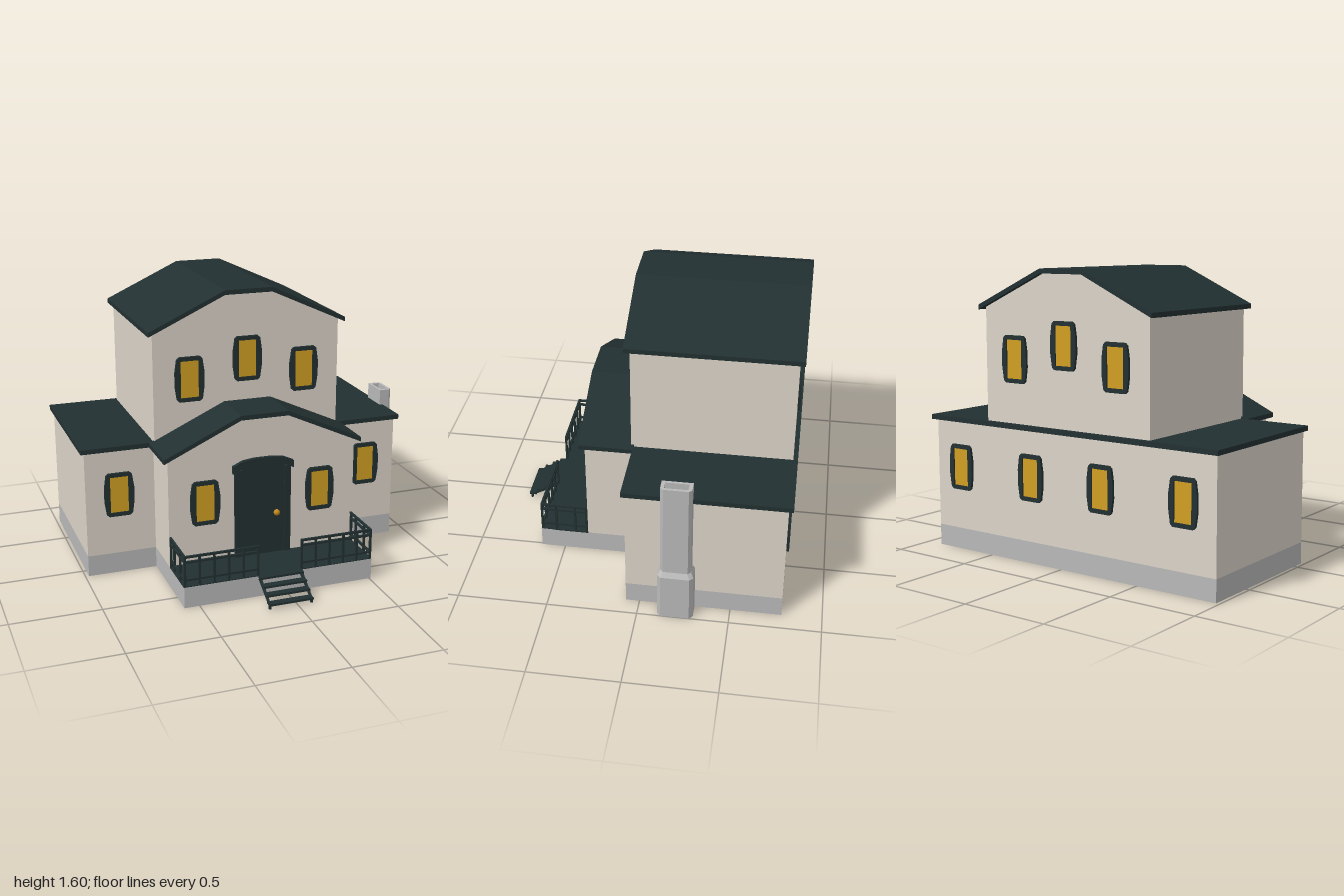
import * as THREE from 'three';

const mat = (name, color, side = THREE.FrontSide) => {
  const m = new THREE.MeshStandardMaterial({ color, side });
  m.name = name;
  return m;
};

export function createModel() {
  const house = new THREE.Group();
  house.name = 'house';
  const plaster = mat('plaster', 0xdcd4c9, THREE.DoubleSide);
  const stone = mat('stone', 0xb9b9b9, THREE.DoubleSide);
  const dark = mat('darkSlate', 0x223031);
  const glass = mat('litGlass', 0xd2a023);
  const brass = mat('brass', 0xc08a1c);
  const maroon = mat('maroon', 0x4a0b1f);

  const add = (name, geometry, material, parent = house) => {
    const m = new THREE.Mesh(geometry, material);
    m.name = name;
    parent.add(m);
    return m;
  };
  // Box given by its limits on each axis
  const box = (name, x0, x1, y0, y1, z0, z1, material, parent) => {
    const m = add(name, new THREE.BoxGeometry(x1 - x0, y1 - y0, z1 - z0), material, parent);
    m.position.set((x0 + x1) / 2, (y0 + y1) / 2, (z0 + z1) / 2);
    return m;
  };
  const shapeOf = (pts) => new THREE.Shape(pts.map(([x, y]) => new THREE.Vector2(x, y)));
  const extrude = (shape, depth) => new THREE.ExtrudeGeometry(shape, { depth, bevelEnabled: false });

  // Upright wall strip following a ground plan
  const wallStrip = (name, plan, y0, y1, material) => {
    const pos = [];
    for (let i = 0; i < plan.length - 1; i++) {
      const [ax, az] = plan[i], [bx, bz] = plan[i + 1];
      pos.push(ax, y0, az, bx, y0, bz, bx, y1, bz, ax, y0, az, bx, y1, bz, ax, y1, az);
    }
    const g = new THREE.BufferGeometry();
    g.setAttribute('position', new THREE.Float32BufferAttribute(pos, 3));
    g.computeVertexNormals();
    add(name, g, material);
  };
  // Flat wall with a sloped, flat-topped gable
  const gableWall = (name, y0, eave, peak, z) => {
    const s = shapeOf([[-0.585, y0], [0.51, y0], [0.51, eave], [0.1, peak], [-0.175, peak], [-0.585, eave]]);
    add(name, new THREE.ShapeGeometry(s), plaster).position.z = z;
  };
  // Bent roof sheet of even thickness
  const gableRoof = (name, eave, peak, z0, z1) => {
    const top = [[-0.613, eave], [-0.175, peak], [0.1, peak], [0.54, eave]];
    const under = top.map(([x, y]) => [x, y - 0.026]).reverse();
    add(name, extrude(shapeOf([...top, ...under]), z1 - z0), dark).position.z = z0;
  };

  // Foundation, open underneath
  wallStrip('foundation', [[-0.98, -0.78], [-0.98, 0.075], [-0.585, 0.075], [-0.585, 0.635], [0.51, 0.635],
    [0.51, 0.075], [0.9, 0.075], [0.9, -0.78], [-0.98, -0.78]], 0, 0.12, stone);

  // Ground floor: wings and front bay
  wallStrip('wingWalls', [[-0.585, 0.075], [-0.98, 0.075], [-0.98, -0.78], [0.9, -0.78], [0.9, 0.075],
    [0.51, 0.075]], 0.12, 0.74, plaster);
  for (const x of [-0.585, 0.51]) wallStrip('baySideWall', [[x, 0.075], [x, 0.36]], 0.12, 0.745, plaster);
  gableWall('bayFrontWall', 0.12, 0.745, 0.94, 0.36);

  // Upper floor
  for (const x of [-0.585, 0.51]) wallStrip('upperSideWall', [[x, 0.1], [x, -0.78]], 0.75, 1.385, plaster);
  gableWall('upperFrontWall', 0.75, 1.385, 1.578, 0.1);
  gableWall('upperBackWall', 0.75, 1.385, 1.578, -0.78);

  // Roofs
  box('wingRoof', -1, 0.925, 0.733, 0.76, -0.805, 0.09, dark);
  gableRoof('bayRoof', 0.758, 0.96, 0.085, 0.39);
  gableRoof('upperRoof', 1.395, 1.597, -0.808, 0.13);

  // Windows: framed opening with a lit pane
  const half = [[0.06, -0.128], [0.074, -0.115], [0.085, -0.04], [0.085, 0.04], [0.074, 0.115], [0.06, 0.128]];
  const frameShape = shapeOf([...half, ...half.map(([x, y]) => [-x, -y])]);
  frameShape.holes.push(new THREE.Path([[-0.052, -0.105], [-0.052, 0.105], [0.052, 0.105], [0.052, -0.105]]
    .map(([x, y]) => new THREE.Vector2(x, y))));
  const frameGeo = extrude(frameShape, 0.015);
  const paneGeo = new THREE.BoxGeometry(0.106, 0.212, 0.008);
  const windowAt = (x, y, z, back = false) => {
    const w = new THREE.Group();
    w.name = 'window';
    add('windowFrame', frameGeo, dark, w);
    add('windowPane', paneGeo, glass, w).position.z = 0.005;
    w.position.set(x, y, z);
    if (back) w.rotation.y = Math.PI;
    house.add(w);
  };
  for (const [x, y] of [[-0.378, 1.11], [-0.04, 1.2], [0.3, 1.11]]) {
    windowAt(x, y, 0.1);
    windowAt(x, y, -0.78, true);
  }
  for (const x of [-0.378, 0.3]) windowAt(x, 0.475, 0.36);
  for (const x of [-0.79, 0.715]) windowAt(x, 0.475, 0.075);
  for (const x of [-0.79, -0.275, 0.2, 0.715]) windowAt(x, 0.475, -0.78, true);

  // Front door with jambs, arched header, knob and inner face
  const door = new THREE.Group();
  door.name = 'door';
  house.add(door);
  box('doorLeaf', -0.165, 0.09, 0.12, 0.66, 0.361, 0.37, dark, door);
  box('doorJamb', -0.208, -0.165, 0.12, 0.64, 0.361, 0.378, dark, door);
  box('doorJamb', 0.085, 0.122, 0.12, 0.64, 0.361, 0.378, dark, door);
  const header = shapeOf([[-0.22, 0.625], [-0.16, 0.655], [0.08, 0.655], [0.136, 0.625], [0.136, 0.668],
    [0.075, 0.695], [0.01, 0.703], [-0.095, 0.703], [-0.16, 0.695], [-0.22, 0.668]]);
  add('doorHeader', extrude(header, 0.022), dark, door).position.z = 0.361;
  add('doorKnob', new THREE.SphereGeometry(0.018, 16, 12), brass, door).position.set(0.035, 0.37, 0.388);
  const inner = shapeOf([[-0.165, 0.12], [0.09, 0.12], [0.09, 0.62], [0.055, 0.65], [-0.13, 0.65], [-0.165, 0.62]]);
  add('doorInnerFace', extrude(inner, 0.004), maroon, door).position.z = 0.354;

  // Porch deck and railing
  box('porchDeck', -0.585, 0.51, 0.116, 0.124, 0.36, 0.634, dark);
  const railing = new THREE.Group();
  railing.name = 'railing';
  house.add(railing);
  const r = 0.006;
  const heights = [0.292, 0.262, 0.16];
  for (const [x0, x1, side] of [[-0.578, -0.165, -0.578], [0.09, 0.503, 0.503]]) {
    for (const y of heights) {
      box('frontRail', x0 - r, x1 + r, y - r, y + r, 0.627 - r, 0.627 + r, dark, railing);
      box('sideRail', side - r, side + r, y - r, y + r, 0.36, 0.627, dark, railing);
    }
    for (let i = 0; i <= 5; i++) {
      const x = x0 + (x1 - x0) * i / 5;
      box('frontPost', x - r, x + r, 0.12, 0.296, 0.627 - r, 0.627 + r, dark, railing);
    }
    for (const z of [0.37, 0.435, 0.545]) {
      box('sidePost', side - r, side + r, 0.12, 0.296, z - r, z + r, dark, railing);
    }
  }

  // Open steps on slanted stringers
  for (let i = 0; i < 4; i++) {
    const z = 0.655 + i * 0.047, y = 0.118 - i * 0.03;
    box('stepTread', -0.165, 0.087, y - 0.006, y + 0.006, z - 0.025, z + 0.014 + (i > 0) * 0.003, dark);
  }
  const stringer = shapeOf([[0.635, 0.104], [0.655, 0.118], [0.803, 0.024], [0.803, 0], [0.792, 0], [0.792, 0.018]]);
  for (const x of [-0.153, 0.087]) {
    const s = add('stepStringer', extrude(stringer, 0.012), dark);
    s.rotation.y = -Math.PI / 2;
    s.position.x = x;
  }

  // Chimney: chamfered plan, broad foot with a sloped shoulder, hollow top
  const chamfered = (x0, x1, z0, z1, c) => [[x0, z0], [x1 - c, z0], [x1, z0 + c], [x1, z1 - c], [x1 - c, z1], [x0, z1]];
  const column = (name, pts, y0, y1, hole) => {
    const s = shapeOf(pts.map(([x, z]) => [x, -z]));
    if (hole) s.holes.push(new THREE.Path(hole.map(([x, z]) => new THREE.Vector2(x, -z))));
    const m = add(name, extrude(s, y1 - y0), stone);
    m.rotation.x = -Math.PI / 2;
    m.position.y = y0;
    return m;
  };
  column('chimneyFoot', chamfered(0.895, 1, -0.305, -0.11, 0.02), 0, 0.275);
  const shoulder = column('chimneyShoulder', chamfered(0.895, 1, -0.305, -0.11, 0.02), 0.275, 0.302);
  const p = shoulder.geometry.attributes.position;
  for (let i = 0; i < p.count; i++) {
    if (p.getZ(i) > 0.01) {
      p.setX(i, 0.905 + (p.getX(i) - 0.895) * 0.72);
      p.setY(i, 0.2075 + (p.getY(i) - 0.2075) * 0.85);
    }
  }
  shoulder.geometry.computeVertexNormals();
  column('chimneyStack', chamfered(0.905, 0.981, -0.29, -0.125, 0.016), 0.29, 0.852,
    [[0.92, -0.27], [0.966, -0.27], [0.966, -0.145], [0.92, -0.145]]);
  box('chimneyFlue', 0.92, 0.966, 0.8, 0.808, -0.27, -0.145, dark);

  return house;
}
